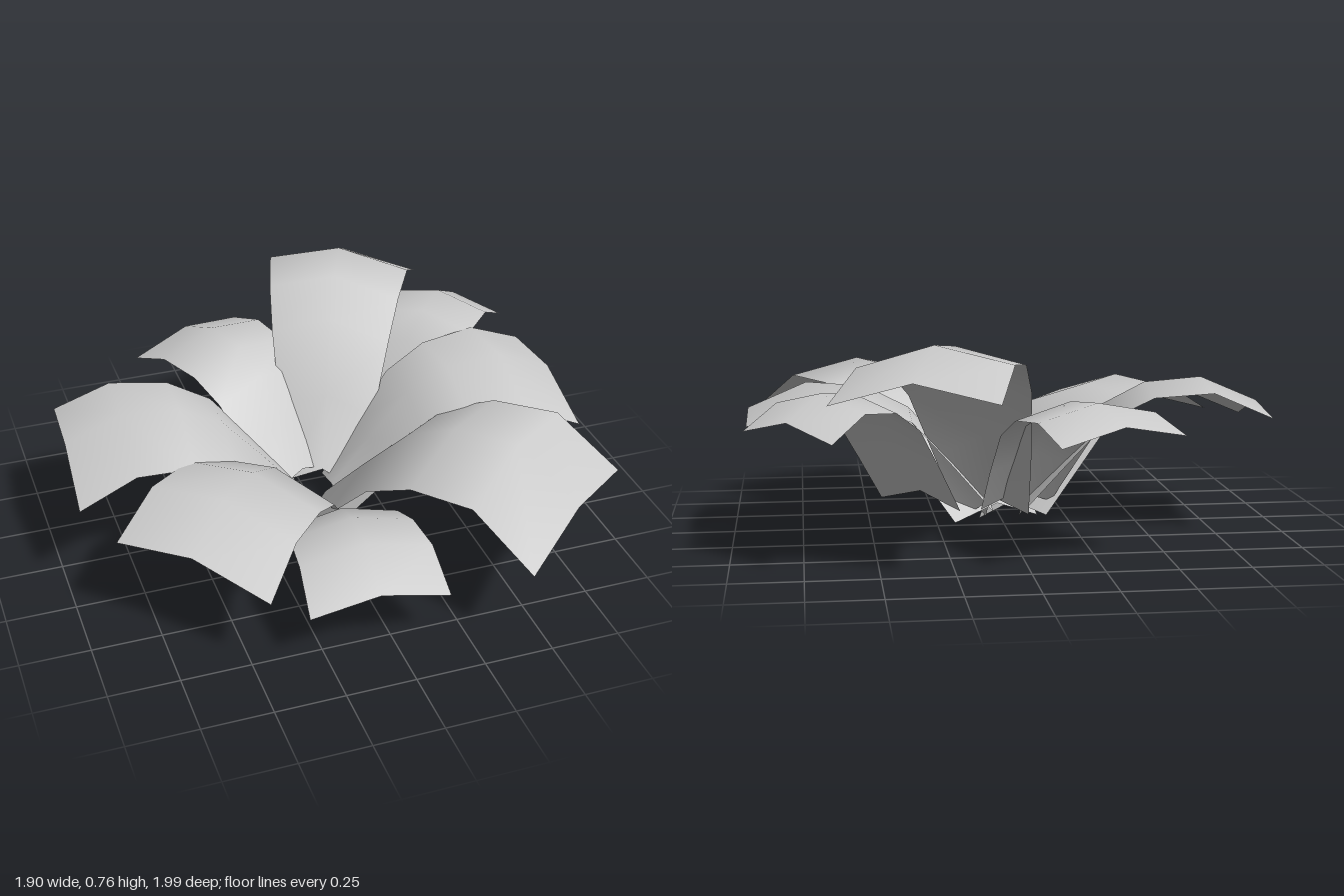
import * as THREE from 'three';

const material = new THREE.MeshStandardMaterial({ color: 0xcccccc, side: THREE.DoubleSide });

// Shared rows of every petal: distance along it, share of the rise, share of the widening
const ROWS = [
  [0, 0, 0], [0.17, 0.4, 0.32], [0.34, 0.78, 0.58],
  [0.52, 0.96, 0.74], [0.76, 1, 0.88], [1, null, 1],
];

// One arched petal from base to tip, creased along the middle and drooping at both edges
function petal(name, { base, tip, peak, baseHalf, tipHalf, roll = 0, droop = 0.06 }) {
  const dx = tip[0] - base[0], dz = tip[2] - base[2];
  const length = Math.hypot(dx, dz);
  const side = [-dz / length, dx / length];
  const positions = [], index = [];
  ROWS.forEach(([s, h, w], i) => {
    const y = h === null ? tip[1] : base[1] + (peak - base[1]) * h;
    const half = baseHalf + (tipHalf - baseHalf) * w;
    for (const u of [-1, 0, 1]) {
      positions.push(
        base[0] + dx * s + side[0] * half * u,
        y - droop * u * u + roll * u,
        base[2] + dz * s + side[1] * half * u,
      );
    }
    if (i === 0) return;
    for (const c of [0, 1]) {
      const a = (i - 1) * 3 + c, b = a + 1, d = a + 3, e = a + 4;
      index.push(a, b, e, a, e, d);
    }
  });
  const geometry = new THREE.BufferGeometry();
  geometry.setAttribute('position', new THREE.Float32BufferAttribute(positions, 3));
  // Wound so that the upper side is the front
  for (let i = 0; i < index.length; i += 3) [index[i + 1], index[i + 2]] = [index[i + 2], index[i + 1]];
  geometry.setIndex(index);
  geometry.computeVertexNormals();
  const mesh = new THREE.Mesh(geometry, material);
  mesh.name = name;
  return mesh;
}

const PETALS = {
  tallBackPetal: { base: [0.05, 0.12, -0.12], tip: [0.4, 0.655, -0.885], peak: 0.755, baseHalf: 0.13, tipHalf: 0.295, roll: -0.015, droop: 0.07 },
  rightSidePetal: { base: [-0.06, 0.1, -0.04], tip: [-0.935, 0.46, -0.085], peak: 0.55, baseHalf: 0.12, tipHalf: 0.295, roll: 0.035 },
  leftSidePetal: { base: [0.06, 0.1, -0.04], tip: [0.94, 0.46, -0.04], peak: 0.55, baseHalf: 0.12, tipHalf: 0.29, roll: -0.035 },
  backRightPetal: { base: [-0.03, 0.14, -0.12], tip: [-0.31, 0.48, -0.76], peak: 0.54, baseHalf: 0.15, tipHalf: 0.25, droop: 0.05 },
  backLeftPetal: { base: [0.33, 0.17, -0.2], tip: [0.8, 0.5, -0.655], peak: 0.58, baseHalf: 0.19, tipHalf: 0.21, droop: 0.05 },
  frontRightPetal: { base: [-0.03, 0.08, 0], tip: [-0.66, 0.385, 0.62], peak: 0.49, baseHalf: 0.16, tipHalf: 0.295, roll: 0.028 },
  frontLeftPetal: { base: [0.03, 0.08, -0.03], tip: [0.68, 0.39, 0.77], peak: 0.56, baseHalf: 0.22, tipHalf: 0.342, roll: -0.02 },
  lowFrontPetal: { base: [-0.03, 0.065, 0.11], tip: [-0.07, 0.245, 0.84], peak: 0.335, baseHalf: 0.16, tipHalf: 0.248, droop: 0.05 },
};

export function createModel() {
  const flower = new THREE.Group();
  flower.name = 'openFlower';
  for (const [name, shape] of Object.entries(PETALS)) flower.add(petal(name, shape));
  return flower;
}
